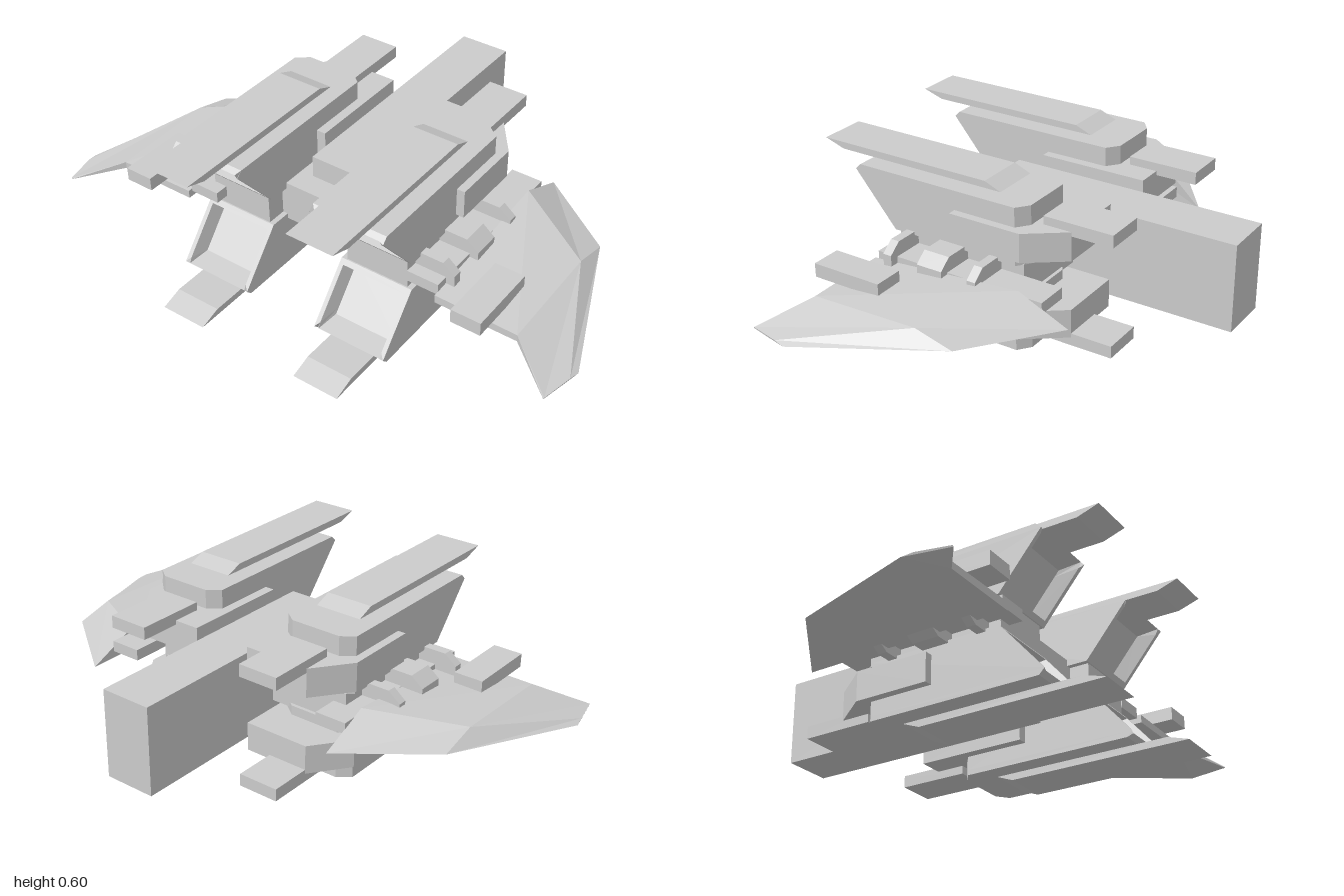
import * as THREE from 'three';

const material = new THREE.MeshStandardMaterial({ color: 0xcccccc, flatShading: true });
const MID_X = -0.025; // centre line of the hull
const MID_Y = 0.3;    // hull mirrors above and below this height

function add(parent, name, geometry) {
  const mesh = new THREE.Mesh(geometry, material);
  mesh.name = name;
  parent.add(mesh);
  return mesh;
}

function box(parent, name, [x0, x1], [y0, y1], [z0, z1]) {
  const mesh = add(parent, name, new THREE.BoxGeometry(x1 - x0, y1 - y0, z1 - z0));
  mesh.position.set((x0 + x1) / 2, (y0 + y1) / 2, (z0 + z1) / 2);
  return mesh;
}

function extrude(points, depth) {
  const shape = new THREE.Shape(points.map(([a, b]) => new THREE.Vector2(a, b)));
  return new THREE.ExtrudeGeometry(shape, { depth, bevelEnabled: false });
}

// Skin equal-length rings and close both ends
function loft(rings) {
  const n = rings[0].length, index = [];
  for (let i = 0; i < rings.length - 1; i++) {
    for (let j = 0; j < n; j++) {
      const a = i * n + j, b = i * n + (j + 1) % n;
      index.push(a, b, b + n, a, b + n, a + n);
    }
  }
  const last = (rings.length - 1) * n;
  for (let j = 1; j < n - 1; j++) {
    index.push(0, j + 1, j, last, last + j, last + j + 1);
  }
  const geometry = new THREE.BufferGeometry();
  geometry.setAttribute('position', new THREE.Float32BufferAttribute(rings.flat(2), 3));
  geometry.setIndex(index);
  const flat = geometry.toNonIndexed();
  flat.computeVertexNormals();
  return flat;
}

// Engine pod: chamfered rear, raked nose and a recessed intake
function podGeometry() {
  const rake = y => 0.39 + (y - 0.055) * 0.842;
  const ring = (inset, zAt) => {
    const x0 = 0.145 + inset, x1 = 0.425 - inset;
    const yb = 0.055 + inset, ym = 0.245 - inset, yt = 0.265 - inset;
    return [[x0, yb], [x1, yb], [x1, ym], [x1, yt], [x0, yt], [x0, ym]]
      .map(([x, y]) => [x, y, zAt(y)]);
  };
  const rear = ring(0, () => -0.138).map(([x, y, z]) => [x < 0.28 ? x + 0.045 : x - 0.045, y, z]);
  return loft([
    rear,
    ring(0, () => -0.103),
    ring(0, y => (y > 0.25 ? 0.53 : rake(y))),
    ring(0.016, y => rake(Math.min(y, 0.24))),
    ring(0.032, y => rake(y) - 0.07),
  ]);
}

// One pod assembly, measured from the hull centre
function createPod() {
  const pod = new THREE.Group();
  add(pod, 'enginePod', podGeometry());

  // Wraparound block with its outer rear corner cut away
  const plan = [[0.11, -0.135], [0.455, -0.135], [0.455, 0.14], [0.355, 0.275], [0.11, 0.275]];
  const block = add(pod, 'nacelleBlock', extrude(plan, 0.105).rotateX(-Math.PI / 2));
  block.position.y = 0.09;

  box(pod, 'exhaust', [0.205, 0.355], [0.18, 0.225], [-0.428, -0.168]);

  // Long blade with slanted ends
  const profile = [[0.65, 0.275], [0.728, 0.3], [0.05, 0.3], [-0.012, 0.275]];
  const blade = add(pod, 'podBlade', extrude(profile.reverse(), 0.175).rotateY(-Math.PI / 2));
  blade.position.x = 0.37;
  return pod;
}

// Wing, its root block and its gun, built on the left
function createWing() {
  const wing = new THREE.Group();
  add(wing, 'wingBlade', loft([
    [[0.497, 0.255, 0.405], [0.497, 0.25, -0.368], [0.497, 0.333, -0.18], [0.497, 0.285, 0.405]],
    [[0.8, 0.255, 0.405], [0.8, 0.255, -0.142], [0.8, 0.292, 0.0], [0.8, 0.28, 0.405]],
    [[0.965, 0.205, 0.525], [1.0, 0.205, 0.37], [0.993, 0.212, 0.41], [0.967, 0.21, 0.523]],
  ]));
  box(wing, 'wingRoot', [0.38, 0.498], [0.275, 0.316], [-0.27, 0.388]);
  box(wing, 'wingGun', [0.603, 0.712], [0.288, 0.338], [0.215, 0.48]);
  return wing;
}

export function createModel() {
  const model = new THREE.Group();
  model.name = 'spacecraft';

  const hull = new THREE.Group();
  hull.name = 'hull';
  hull.position.set(MID_X, MID_Y, 0);
  model.add(hull);

  // Central fuselage and the bridge between the pods
  box(hull, 'fuselage', [-0.094, 0.094], [-0.16, 0.16], [-0.73, 0.228]);
  box(hull, 'hullBridge', [-0.2, 0.2], [-0.075, 0.078], [-0.12, 0.312]);

  for (const side of [1, -1]) {
    const half = new THREE.Group();
    half.name = side > 0 ? 'leftHull' : 'rightHull';
    half.scale.x = side;
    hull.add(half);

    // Upper and lower pods
    for (const level of [1, -1]) {
      const pod = createPod();
      pod.name = level > 0 ? 'upperPod' : 'lowerPod';
      pod.scale.y = level;
      half.add(pod);
    }
    box(half, 'podCore', [0.165, 0.405], [-0.058, 0.058], [-0.125, 0.385]);

    // Struts reaching from the hull to the wing
    const section = [[0.38, -0.065], [0.48, -0.065], [0.555, -0.02], [0.555, 0.032], [0.51, 0.068], [0.38, 0.068]];
    for (const [z, depth] of [[-0.035, 0.033], [0.1, 0.1], [0.308, 0.033]]) {
      const strut = add(half, 'wingStrut', extrude(section, depth));
      strut.position.z = z;
    }

    // The right wing sits slightly further forward
    const wing = createWing();
    wing.name = side > 0 ? 'leftWing' : 'rightWing';
    wing.scale.x = side;
    wing.position.z = side > 0 ? 0 : 0.047;
    model.add(wing);
  }
  return model;
}
